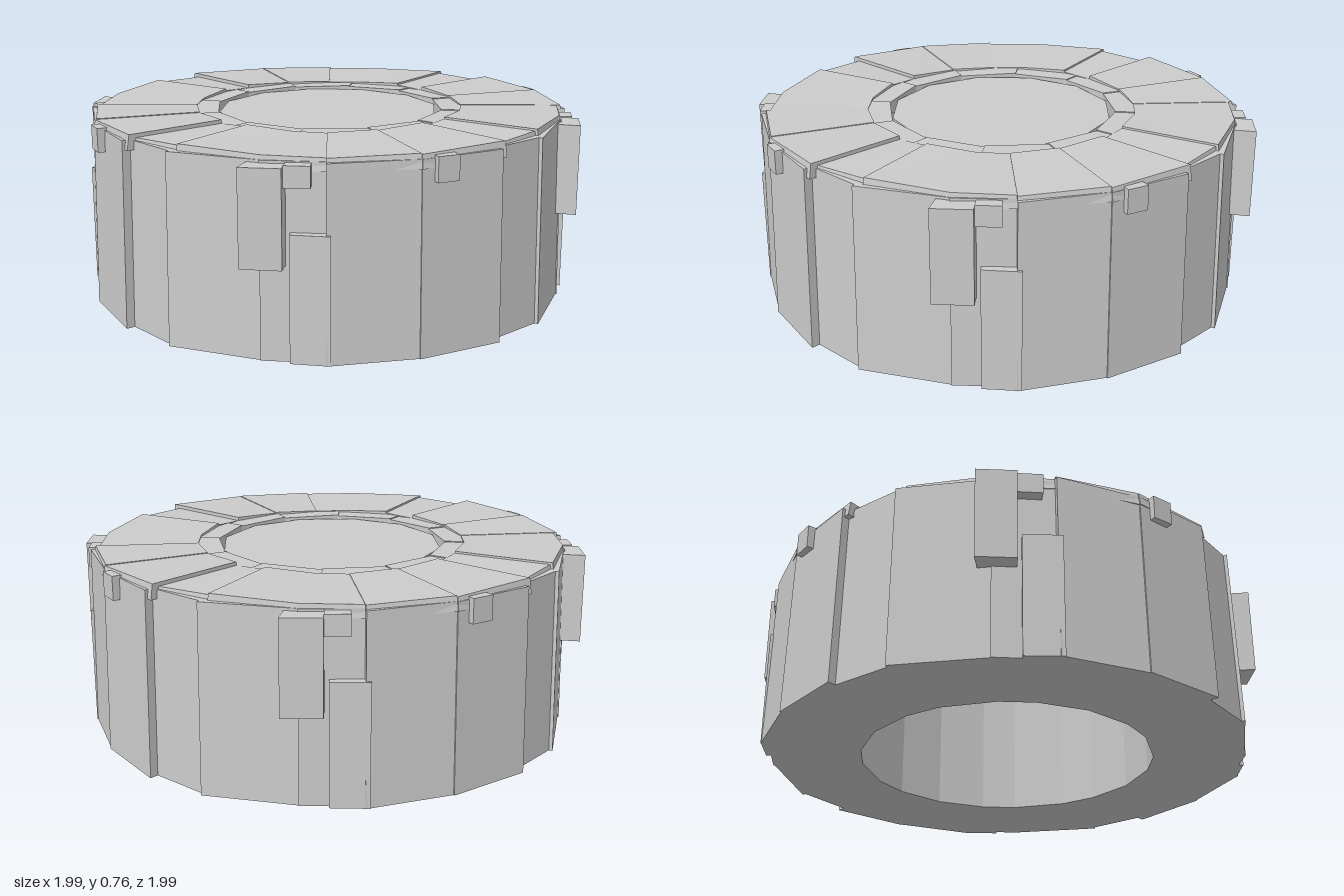
import * as THREE from 'three';

const material = new THREE.MeshStandardMaterial({ color: 0xcccccc, flatShading: true });
const rad = THREE.MathUtils.degToRad;

// A wedge-shaped stone bent around the y axis. Angles in degrees, 0 = +z, 90 = +x.
// rA/rB: outer radius at the two ends, hA/hB: top height at the two ends.
function stone(name, { a0, a1, rIn, rA, rB = rA, y0, hA, hB = hA, taper = 0 }) {
  const g = new THREE.BoxGeometry(1, 1, 1).toNonIndexed();
  const p = g.attributes.position;
  for (let i = 0; i < p.count; i++) {
    const t = p.getX(i) + 0.5;
    const top = p.getY(i) > 0;
    const angle = rad(a0 + (a1 - a0) * t);
    const outer = rA + (rB - rA) * t - (top ? taper : 0);
    const r = p.getZ(i) > 0 ? outer : rIn;
    p.setXYZ(i, r * Math.sin(angle), top ? hA + (hB - hA) * t : y0, r * Math.cos(angle));
  }
  g.computeVertexNormals();
  const mesh = new THREE.Mesh(g, material);
  mesh.name = name;
  return mesh;
}

export function createModel() {
  const model = new THREE.Group();
  model.name = 'stoneRing';

  // One quarter: start angle, end angle, outer radius at each end
  const wall = [
    [-34, -14, 1.0, 0.985],
    [-14, 6, 0.99, 1.0],
    [6, 20.5, 0.965, 0.985],
    [20.5, 42, 1.0, 0.97],
    [42, 56, 0.975, 0.97],
  ];
  // Top slabs: start angle, end angle, outer radius, height at each end
  const slabs = [
    [-34, -14, 0.975, 0.75, 0.755],
    [-14, 7.5, 0.98, 0.752, 0.76],
    [7.5, 22, 0.95, 0.745, 0.752],
    [22, 42, 0.96, 0.76, 0.752],
    [42, 56, 0.96, 0.752, 0.748],
  ];

  for (let q = 0; q < 4; q++) {
    const quarter = new THREE.Group();
    quarter.name = 'quarter' + (q + 1);
    quarter.rotation.y = (q * Math.PI) / 2;

    for (const [a0, a1, rA, rB] of wall)
      quarter.add(stone('wallStone', { a0, a1, rIn: 0.6, rA, rB, y0: 0, hA: 0.735, taper: 0.015 }));
    for (const [a0, a1, rA, hA, hB] of slabs)
      quarter.add(stone('topSlab', { a0, a1, rIn: 0.55, rA, y0: 0.7, hA, hB, taper: 0.01 }));

    // Rim around the opening
    for (let i = 0; i < 3; i++)
      quarter.add(stone('innerRim', {
        a0: i * 30 + 15, a1: i * 30 + 45, rIn: 0.47, rA: 0.61, y0: 0.69, hA: 0.748, hB: 0.744,
      }));

    // Protruding blocks and thin facing stones
    quarter.add(stone('protrudingBlock', { a0: 39, a1: 47.5, rIn: 0.9, rA: 1.04, rB: 1.025, y0: 0.36, hA: 0.725 }));
    quarter.add(stone('smallBlock', { a0: 47.5, a1: 53, rIn: 0.9, rA: 1.0, y0: 0.65, hA: 0.73 }));
    quarter.add(stone('facingStone', { a0: 48.5, a1: 57, rIn: 0.9, rA: 0.985, rB: 1.0, y0: 0, hA: 0.48 }));
    quarter.add(stone('topChip', { a0: -11, a1: -6, rIn: 0.9, rA: 0.995, y0: 0.65, hA: 0.745 }));
    model.add(quarter);
  }

  // Flat disc closing the opening
  const disc = new THREE.Mesh(new THREE.CylinderGeometry(0.455, 0.455, 0.03, 12), material);
  disc.name = 'centreDisc';
  disc.position.y = 0.72;
  disc.rotation.y = rad(7);
  model.add(disc);

  return model;
}
